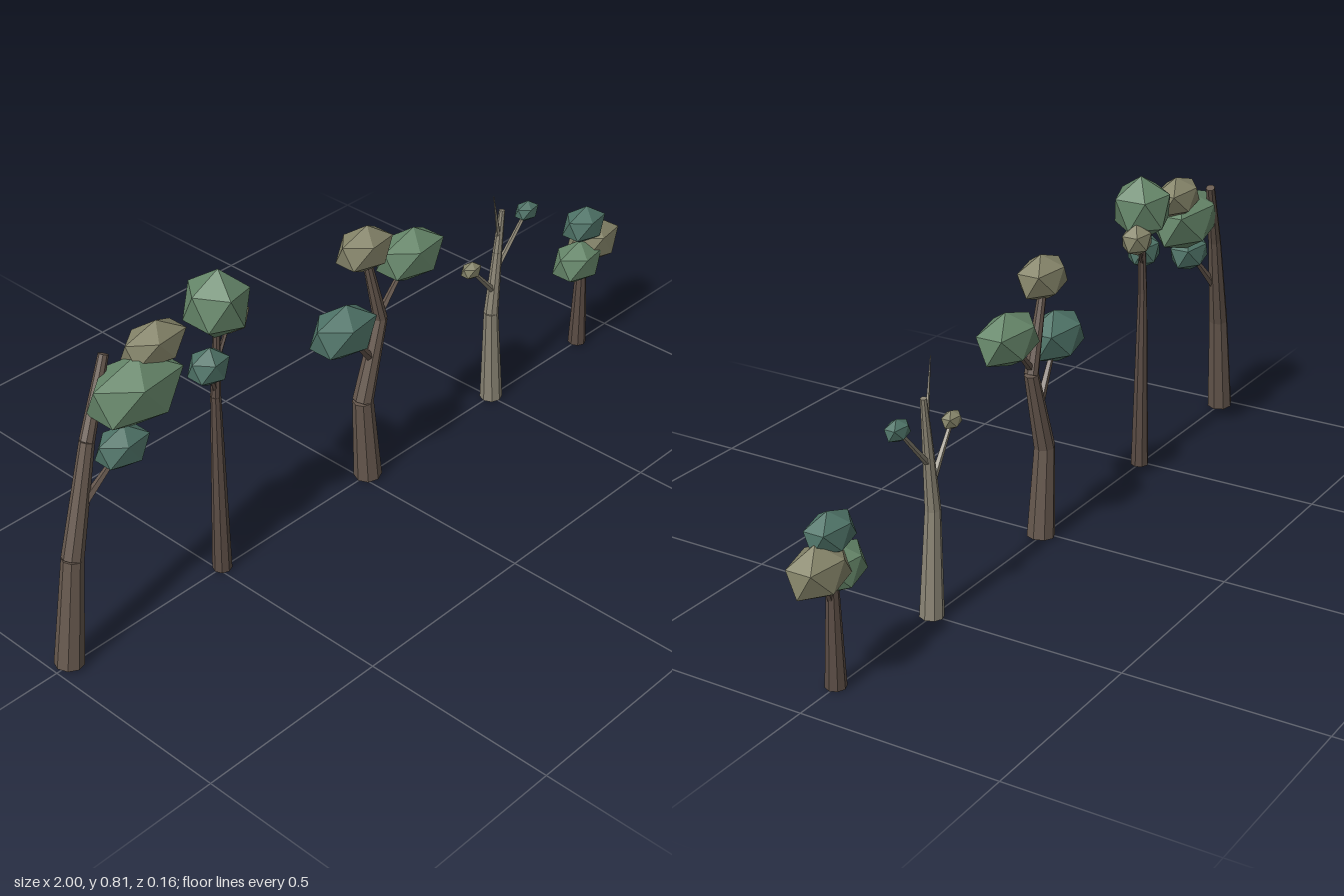
import * as THREE from 'three';

const material = (color) => new THREE.MeshStandardMaterial({ color, flatShading: true });
const green = material(0x66876a);
const teal = material(0x4f7468);
const olive = material(0x86856a);
const brown = material(0x65574d);
const darkBrown = material(0x5a4c44);
const pale = material(0x8a8474);
const { lerp } = THREE.MathUtils;

// Tapered straight piece of wood between two points
function limb(name, from, to, r0, r1, sides, bark) {
  const dir = to.clone().sub(from);
  const mesh = new THREE.Mesh(new THREE.CylinderGeometry(r1, r0, dir.length(), sides), bark);
  mesh.position.copy(from).add(to).multiplyScalar(0.5);
  mesh.quaternion.setFromUnitVectors(new THREE.Vector3(0, 1, 0), dir.normalize());
  mesh.name = name;
  return mesh;
}

// Faceted leaf clump: a tilted icosahedron stretched to half width and half height
function clump(center, halfWidth, halfHeight, leafMaterial) {
  const geo = new THREE.IcosahedronGeometry(1, 0).rotateZ(0.45);
  geo.computeBoundingBox();
  const { max } = geo.boundingBox;
  geo.scale(halfWidth / max.x, halfHeight / max.y, (halfHeight * 0.8) / max.z);
  const mesh = new THREE.Mesh(geo, leafMaterial);
  mesh.position.copy(center);
  mesh.name = 'leafClump';
  return mesh;
}

// Tree with a bent trunk: knees are its x, y corners, lean is how far the tip drifts in z
class Tree extends THREE.Group {
  constructor(name, bark, baseRadius, tipRadius, lean, knees) {
    super();
    Object.assign(this, { name, bark, baseRadius, tipRadius });
    const height = knees.at(-1)[1];
    this.height = height;
    this.knees = knees.map(([x, y]) => new THREE.Vector3(x, y, lean * (y / height) ** 2));
    for (let i = 1; i < knees.length; i++) {
      const [a, b] = this.knees.slice(i - 1, i + 1);
      this.add(limb('trunkSection', a, b, this.radiusAt(a.y), this.radiusAt(b.y), 8, bark));
    }
  }

  radiusAt(y) {
    return lerp(this.baseRadius, this.tipRadius, y / this.height);
  }

  // Branch growing from the trunk at the given height
  branch(y, end, tipRadius = 0.005) {
    const i = this.knees.findIndex((knee) => knee.y >= y);
    const [a, b] = this.knees.slice(i - 1, i + 1);
    const start = a.clone().lerp(b, (y - a.y) / (b.y - a.y));
    this.add(limb('branch', start, end, this.radiusAt(y) * 0.55, tipRadius, 5, this.bark));
    return this;
  }

  // Leaf clump, with a branch to it when a branch height is given
  leaf(leafMaterial, x, y, z, halfWidth, halfHeight, branchY) {
    const center = new THREE.Vector3(x, y, z);
    this.add(clump(center, halfWidth, halfHeight, leafMaterial));
    return branchY ? this.branch(branchY, center) : this;
  }
}

export function createModel() {
  const leaning = new Tree('leaningTree', brown, 0.035, 0.012, -0.055,
    [[-0.963, 0.004], [-0.92, 0.275], [-0.835, 0.535], [-0.752, 0.71]])
    .leaf(green, -0.717, 0.625, 0, 0.115, 0.087)
    .leaf(olive, -0.647, 0.705, -0.012, 0.08, 0.056, 0.6)
    .leaf(teal, -0.776, 0.513, 0.015, 0.064, 0.053, 0.38);

  const slender = new Tree('slenderTree', darkBrown, 0.024, 0.008, -0.006,
    [[-0.489, 0], [-0.482, 0.49], [-0.466, 0.68]])
    .leaf(green, -0.463, 0.725, -0.008, 0.071, 0.086)
    .leaf(teal, -0.515, 0.593, 0.014, 0.048, 0.048, 0.5)
    .leaf(olive, -0.407, 0.658, -0.025, 0.043, 0.043, 0.57);

  const crooked = new Tree('crookedTree', brown, 0.036, 0.01, 0,
    [[0.02, 0.002], [0.002, 0.237], [0.063, 0.45], [0.008, 0.66]])
    .leaf(olive, -0.002, 0.674, 0.008, 0.074, 0.06)
    .leaf(green, 0.177, 0.578, -0.007, 0.093, 0.07, 0.46)
    .leaf(teal, -0.093, 0.492, 0.025, 0.088, 0.07, 0.345);

  // Nearly bare tree with two small clumps and a pointed twig
  const bare = new Tree('bareTree', pale, 0.03, 0.008, -0.008,
    [[0.503, 0], [0.492, 0.268], [0.512, 0.44], [0.528, 0.555]])
    .leaf(olive, 0.386, 0.447, 0.014, 0.028, 0.024, 0.33)
    .leaf(teal, 0.626, 0.514, -0.006, 0.034, 0.028, 0.385)
    .branch(0.48, new THREE.Vector3(0.464, 0.63, 0.015), 0.001);

  const small = new Tree('smallTree', darkBrown, 0.025, 0.01, 0,
    [[0.873, 0], [0.871, 0.22], [0.873, 0.35]])
    .leaf(teal, 0.873, 0.372, -0.002, 0.064, 0.053)
    .leaf(olive, 0.922, 0.304, -0.006, 0.078, 0.066, 0.2)
    .leaf(green, 0.839, 0.275, 0.008, 0.073, 0.062, 0.19);

  const model = new THREE.Group();
  model.name = 'treeRow';
  model.add(leaning, slender, crooked, bare, small);
  return model;
}
